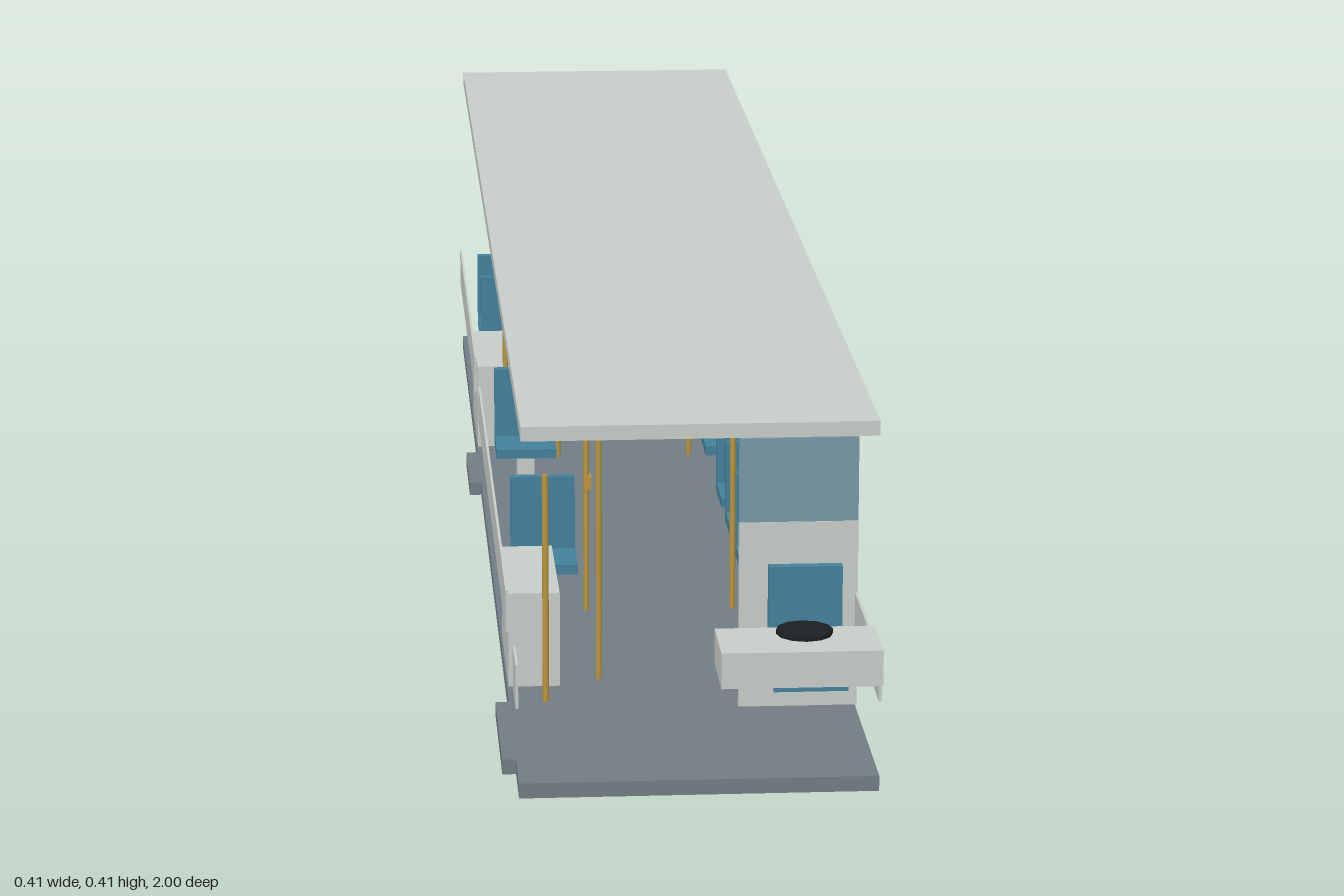
import * as THREE from 'three';

const mat = (color) => new THREE.MeshStandardMaterial({ color });

export function createModel() {
  const bus = new THREE.Group();
  bus.name = 'busInterior';

  const grey = mat(0xc6ccc7), floorGrey = mat(0x717c84), blue = mat(0x43809a);
  const gold = mat(0xb8943f), dark = mat(0x2c363d), glass = mat(0x7898a6), black = mat(0x1c1f22);

  // Box given by its limits on each axis
  function box(name, material, [x0, x1], [y0, y1], [z0, z1], parent = bus) {
    const m = new THREE.Mesh(new THREE.BoxGeometry(x1 - x0, y1 - y0, z1 - z0), material);
    m.position.set((x0 + x1) / 2, (y0 + y1) / 2, (z0 + z1) / 2);
    m.name = name;
    parent.add(m);
    return m;
  }

  // Round bar between two points
  function bar(name, material, a, b, r) {
    const from = new THREE.Vector3(...a), to = new THREE.Vector3(...b);
    const dir = to.clone().sub(from);
    const m = new THREE.Mesh(new THREE.CylinderGeometry(r, r, dir.length(), 12), material);
    m.position.copy(from).add(to).multiplyScalar(0.5);
    m.quaternion.setFromUnitVectors(new THREE.Vector3(0, 1, 0), dir.normalize());
    m.name = name;
    bus.add(m);
  }

  // Floor with the two door sills, and roof
  const floorTop = 0.017;
  box('floor', floorGrey, [-0.19, 0.2], [0, floorTop], [-1, 1]);
  box('frontDoorSill', floorGrey, [-0.205, -0.19], [0, floorTop], [0.72, 0.92]);
  box('middleDoorSill', floorGrey, [-0.205, -0.19], [0, floorTop], [-0.35, -0.2]);
  box('roof', grey, [-0.186, 0.197], [0.397, 0.413], [-0.995, 0.995]);

  // Side panels, broken at the doors on the right
  box('leftSidePanel', grey, [0.199, 0.202], [0.1, 0.149], [-0.99, 0.995]);
  for (const z of [[-0.99, -0.35], [-0.19, 0.72], [0.925, 0.995]])
    box('rightSidePanel', grey, [-0.193, -0.19], [0.1, 0.149], z);

  // Wheel housings
  for (const z of [[0.475, 0.665], [-0.58, -0.38]]) {
    box('rightWheelHousing', grey, [-0.188, -0.129], [floorTop, 0.128], z);
    box('leftWheelHousing', grey, [0.139, 0.198], [floorTop, 0.128], z);
  }

  // Seats: cushion, backrest and optional pedestal, facing the front
  function seat(name, x, z, width, top, cushionTop, pedestal) {
    const g = new THREE.Group();
    g.name = name;
    g.position.set(x, 0, z);
    const w = width / 2;
    box('cushion', blue, [-w, w], [0.083, cushionTop], [-0.04, 0.04], g);
    box('backrest', blue, [-w, w], [cushionTop, top], [-0.042, -0.03], g);
    if (pedestal) box('pedestal', grey, [-0.011, 0.011], [floorTop, 0.083], [-0.011, 0.011], g);
    bus.add(g);
  }
  for (const z of [0.405, 0.265, 0.13, -0.115, -0.635, -0.77])
    seat('leftSeat', 0.135, z, 0.077, 0.184, 0.095, true);
  for (const z of [0.405, -0.115, -0.635, -0.77])
    seat('rightSeat', -0.135, z, 0.077, 0.184, 0.095, true);
  seat('driverSeat', 0.135, 0.865, 0.082, 0.205, 0.104, false);

  // Driver's area
  box('dashboard', grey, [0.028, 0.203], [0.119, 0.159], [0.91, 1]);
  bar('steeringColumn', black, [0.123, 0.107, 0.925], [0.123, 0.16, 0.93], 0.006);
  bar('steeringWheel', black, [0.124, 0.158, 0.933], [0.124, 0.164, 0.933], 0.031);
  box('driverPartition', grey, [0.068, 0.202], [floorTop, 0.233], [0.746, 0.754]);
  box('partitionGlass', glass, [0.068, 0.202], [0.233, 0.33], [0.747, 0.753]);
  box('displayPanel', dark, [-0.05, 0.06], [0.337, 0.376], [0.701, 0.709]);

  // Grab rails with their poles
  for (const [x, railX] of [[-0.083, -0.078], [0.093, 0.088]]) {
    bar('grabRail', gold, [railX, 0.346, 0.64], [railX, 0.346, -0.8], 0.003);
    for (const z of [0.64, 0.375, -0.32, -0.715])
      bar('pole', gold, [x, floorTop, z], [x, 0.346, z], 0.0035);
  }
  for (const z of [0.945, -0.172])
    bar('doorPole', gold, [-0.158, 0.091, z], [-0.158, 0.346, z], 0.0035);
  box('stopButton', gold, [-0.084, -0.077], [0.17, 0.185], [0.367, 0.383]);

  return bus;
}
